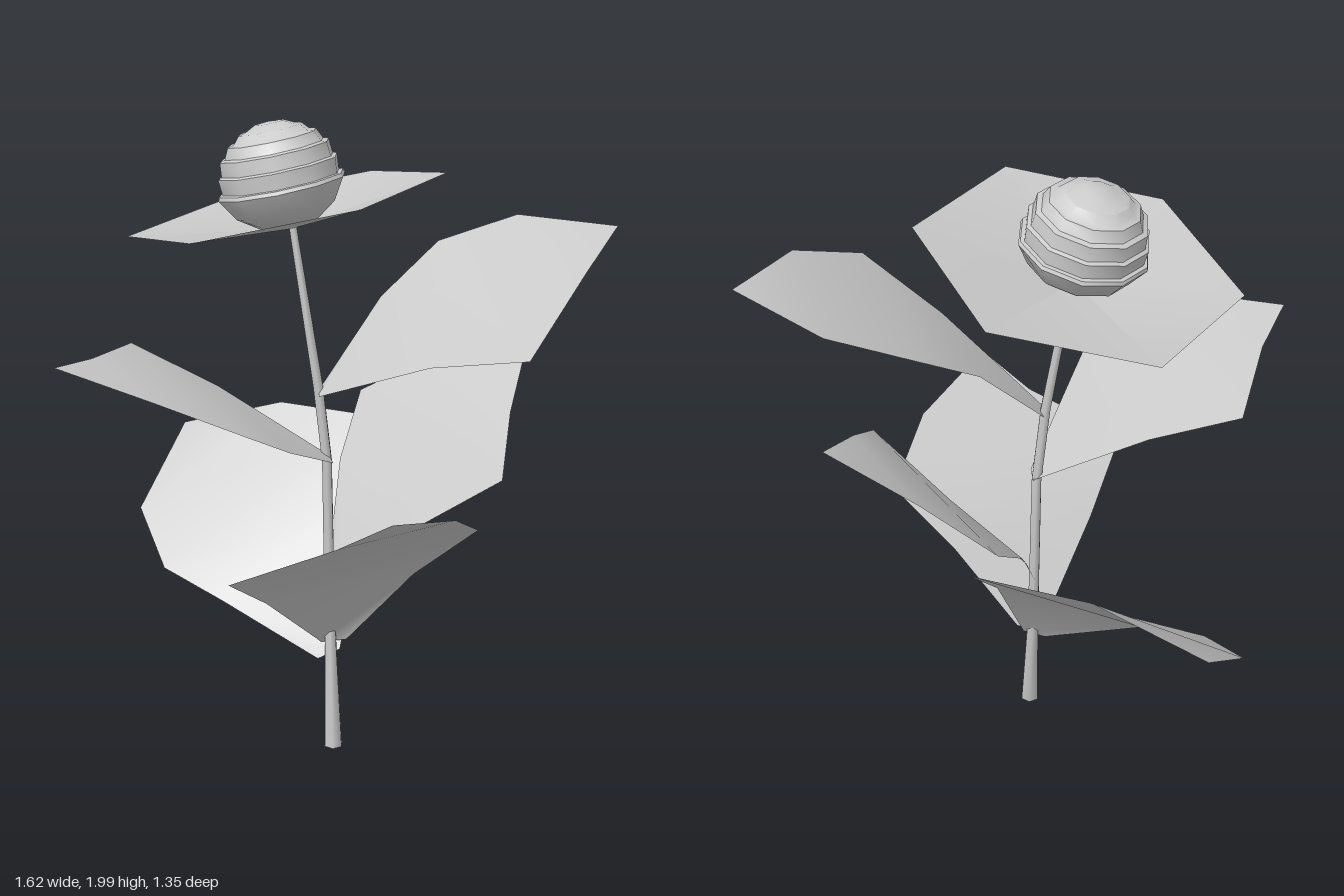
import * as THREE from 'three';
import { toCreasedNormals } from 'three/addons/utils/BufferGeometryUtils.js';

const material = new THREE.MeshStandardMaterial({ color: 0xcccccc });
const thinMaterial = new THREE.MeshStandardMaterial({ color: 0xcccccc, side: THREE.DoubleSide });

function addMesh(parent, name, geometry, mat = material) {
  const mesh = new THREE.Mesh(geometry, mat);
  mesh.name = name;
  parent.add(mesh);
  return mesh;
}

// Tapered tube with straight segments through [x, y, z, radius] stations
function stemGeometry(stations, sides) {
  const positions = [], indices = [];
  for (const [x, y, z, r] of stations) {
    for (let i = 0; i < sides; i++) {
      const a = (i / sides) * Math.PI * 2;
      positions.push(x + r * Math.sin(a), y, z + r * Math.cos(a));
    }
  }
  for (let s = 0; s < stations.length - 1; s++) {
    for (let i = 0; i < sides; i++) {
      const a = s * sides + i, b = s * sides + (i + 1) % sides;
      indices.push(a, b, b + sides, a, b + sides, a + sides);
    }
  }
  for (let i = 1; i < sides - 1; i++) indices.push(0, i + 1, i);
  const g = new THREE.BufferGeometry();
  g.setAttribute('position', new THREE.Float32BufferAttribute(positions, 3));
  g.setIndex(indices);
  return toCreasedNormals(g, 1.1);
}

// Leaf blade: left/right pairs from the base outward, closed by one tip point
function leafGeometry(pairs, tip) {
  const positions = [...pairs.flat(2), ...tip];
  const indices = [];
  for (let i = 0; i < pairs.length - 1; i++) {
    const a = i * 2;
    indices.push(a, a + 1, a + 3, a, a + 3, a + 2);
  }
  const n = pairs.length * 2;
  indices.push(n - 2, n - 1, n);
  const g = new THREE.BufferGeometry();
  g.setAttribute('position', new THREE.Float32BufferAttribute(positions, 3));
  g.setIndex(indices);
  g.computeVertexNormals();
  return g;
}

const leaves = {
  lowerFrontLeaf: {
    pairs: [
      [[-0.08, 0.34, 0.03], [0, 0.35, 0.03]],
      [[-0.23, 0.6, 0.31], [0.21, 0.61, 0.1]],
      [[-0.32, 0.765, 0.545], [0.405, 0.79, 0.17]],
      [[-0.01, 0.905, 0.605], [0.33, 0.92, 0.41]],
    ],
    tip: [0.15, 1.01, 0.67],
  },
  lowerBackLeaf: {
    pairs: [
      [[-0.02, 0.32, 0.04], [-0.09, 0.29, 0.05]],
      [[0.05, 0.69, -0.2], [-0.4, 0.435, -0.06]],
      [[0.12, 0.93, -0.445], [-0.6, 0.5, -0.17]],
      [[-0.24, 0.94, -0.565], [-0.705, 0.615, -0.405]],
    ],
    tip: [-0.58, 0.825, -0.675],
  },
  middleLeftLeaf: {
    pairs: [
      [[-0.03, 0.59, 0.05], [-0.06, 0.58, -0.02]],
      [[0.22, 0.78, 0.13], [-0.03, 0.855, -0.26]],
      [[0.47, 0.975, 0.23], [0.03, 1.02, -0.465]],
      [[0.5, 1.11, 0], [0.26, 1.155, -0.415]],
    ],
    tip: [0.555, 1.225, -0.26],
  },
  middleRightLeaf: {
    pairs: [
      [[-0.05, 0.96, 0], [-0.04, 0.96, 0.06]],
      [[-0.4, 1.165, -0.06], [-0.15, 1.1, 0.355]],
      [[-0.67, 1.285, -0.11], [-0.25, 1.235, 0.6]],
      [[-0.74, 1.335, 0.21], [-0.515, 1.32, 0.56]],
    ],
    tip: [-0.815, 1.37, 0.41],
  },
  upperLeftLeaf: {
    pairs: [
      [[-0.08, 1.18, 0.08], [-0.085, 1.18, 0.02]],
      [[0.25, 1.355, 0.33], [0.1, 1.43, -0.15]],
      [[0.52, 1.445, 0.54], [0.275, 1.57, -0.295]],
      [[0.69, 1.615, 0.24], [0.52, 1.65, -0.32]],
    ],
    tip: [0.81, 1.67, -0.1],
  },
};

export function createModel() {
  const plant = new THREE.Group();
  plant.name = 'flower';

  // Stem, thick at the foot and leaning toward the blossom
  addMesh(plant, 'stem', stemGeometry([
    [-0.04, 0, 0.08, 0.031],
    [-0.05, 0.35, 0.035, 0.02],
    [-0.055, 0.6, 0.02, 0.018],
    [-0.06, 0.95, 0.015, 0.017],
    [-0.085, 1.2, 0.035, 0.017],
    [-0.16, 1.69, 0, 0.013],
  ], 6));

  for (const [name, { pairs, tip }] of Object.entries(leaves)) {
    addMesh(plant, name, leafGeometry(pairs, tip), thinMaterial);
  }

  // Blossom, tilted toward its right and back
  const blossom = new THREE.Group();
  blossom.name = 'blossom';
  blossom.position.set(-0.18, 1.745, -0.02);
  blossom.quaternion.setFromUnitVectors(
    new THREE.Vector3(0, 1, 0), new THREE.Vector3(-0.21, 1, -0.09).normalize());
  plant.add(blossom);

  // Shallow six-sided petal dish
  const dish = [new THREE.Vector2(0, -0.073), new THREE.Vector2(0.486, 0)];
  addMesh(blossom, 'petals', new THREE.LatheGeometry(dish, 6, Math.PI / 2), thinMaterial);

  // Seed head: a bowl below, stepped bands above
  const profile = [
    [0, -0.073], [0.09, -0.055], [0.155, -0.01], [0.196, 0.055], [0.192, 0.066],
    [0.18, 0.068], [0.184, 0.115], [0.172, 0.12], [0.168, 0.163], [0.152, 0.168],
    [0.136, 0.2], [0.116, 0.205], [0.096, 0.227], [0.078, 0.23], [0.045, 0.246], [0, 0.25],
  ].map(([r, y]) => new THREE.Vector2(r, y));
  addMesh(blossom, 'seedHead', toCreasedNormals(new THREE.LatheGeometry(profile, 10), 0.7));

  return plant;
}
